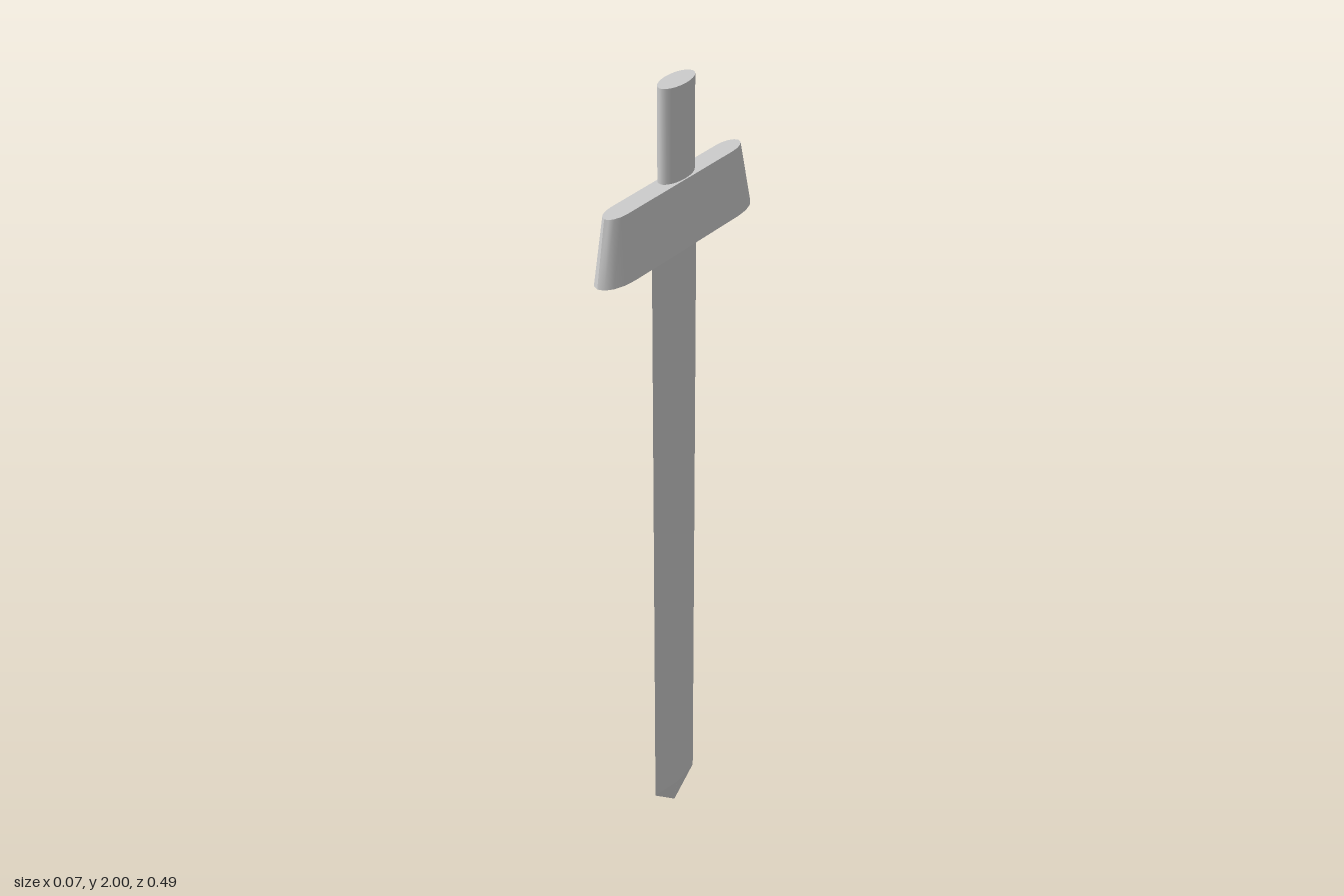
import * as THREE from 'three';
import { toCreasedNormals } from 'three/addons/utils/BufferGeometryUtils.js';

const material = new THREE.MeshStandardMaterial({ color: 0xcccccc });

// Skin a stack of equal-length rings (bottom to top) and cap both ends
function loft(rings, crease) {
  const n = rings[0].length;
  const pos = rings.flat(2);
  const idx = [];
  for (let r = 0; r < rings.length - 1; r++) {
    for (let i = 0; i < n; i++) {
      const j = (i + 1) % n;
      const a = r * n + i, b = r * n + j;
      idx.push(a, a + n, b, b, a + n, b + n);
    }
  }
  const top = (rings.length - 1) * n;
  for (let i = 1; i < n - 1; i++) {
    idx.push(0, i, i + 1);
    idx.push(top, top + i + 1, top + i);
  }
  const geo = new THREE.BufferGeometry();
  geo.setAttribute('position', new THREE.Float32BufferAttribute(pos, 3));
  geo.setIndex(idx);
  return toCreasedNormals(geo, crease);
}

// Stadium outline: straight sides with elliptical ends
function stadium(y, cx, halfX, halfZ, straight, steps = 8) {
  const ring = [];
  for (const s of [1, -1]) {
    for (let i = 0; i <= steps; i++) {
      const t = (Math.PI * i) / steps;
      ring.push([
        cx + s * halfX * Math.cos(t), y,
        s * (straight + (halfZ - straight) * Math.sin(t)),
      ]);
    }
  }
  return ring;
}

const diamond = (y, x, z) => [[x, y, 0], [0, y, z], [-x, y, 0], [0, y, -z]];

export function createModel() {
  const group = new THREE.Group();
  const add = (name, geo) => {
    const mesh = new THREE.Mesh(geo, material);
    mesh.name = name;
    group.add(mesh);
    return mesh;
  };

  // Diamond-section blade, thinning towards the point
  add('blade', loft([
    diamond(0, 0.0005, 0.0005),
    diamond(0.065, 0.01, 0.073),
    diamond(1.64, 0.035, 0.073),
  ], 0.02));

  // Crossguard, flaring towards the blade
  add('guard', loft([
    stadium(1.625, 0, 0.037, 0.246, 0.17),
    stadium(1.775, -0.003, 0.022, 0.217, 0.17),
  ], 0.6));

  // Narrow tang joining guard and grip
  const tang = add('tang', new THREE.BoxGeometry(0.008, 0.04, 0.04));
  tang.position.set(0, 1.78, 0);

  // Oval grip
  const grip = add('grip', new THREE.CylinderGeometry(1, 1, 0.217, 24));
  grip.scale.set(0.025, 1, 0.0525);
  grip.position.set(0, 1.8915, -0.006);

  return group;
}
